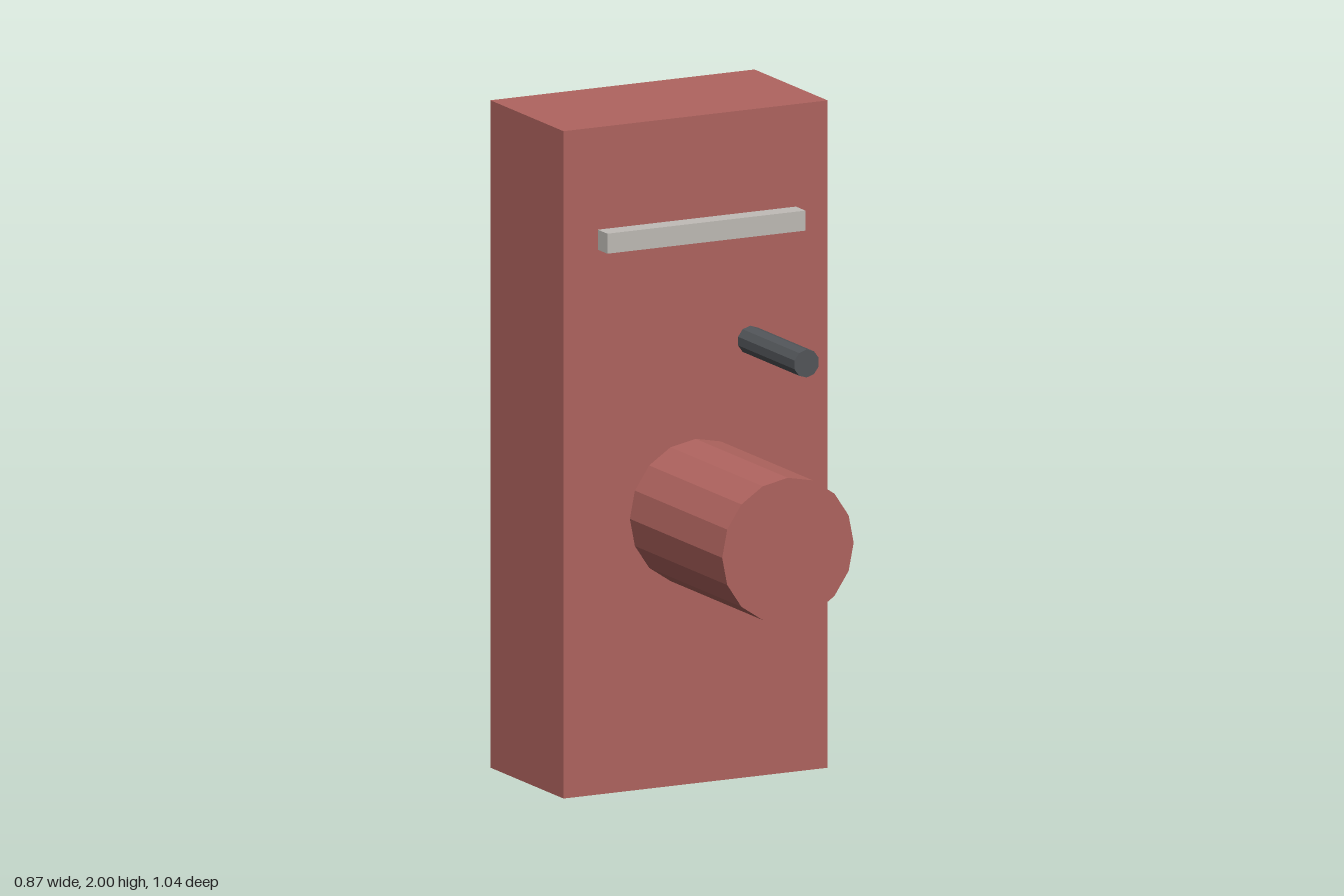
import * as THREE from 'three';

export function createModel() {
  const model = new THREE.Group();
  model.name = 'model';

  const paint = (name, color) => {
    const m = new THREE.MeshStandardMaterial({ color });
    m.name = name;
    return m;
  };
  const red = paint('dusty red', 0xb0645f);
  const grey = paint('light grey', 0xc0bcb7);
  const dark = paint('dark grey', 0x53565a);

  const add = (name, geometry, material, x, y, z) => {
    const mesh = new THREE.Mesh(geometry, material);
    mesh.name = name;
    mesh.position.set(x, y, z);
    model.add(mesh);
  };

  // Faceted cylinder along z with a corner at the top
  const rod = (radius, length, sides) => {
    const g = new THREE.CylinderGeometry(radius, radius, length, sides);
    g.rotateX(Math.PI / 2);
    if (sides % 4 === 2) g.rotateZ(Math.PI); 
    const flat = g.toNonIndexed();
    flat.computeVertexNormals();
    return flat;
  };

  // Upright case
  add('body', new THREE.BoxGeometry(0.872, 2, 0.46), red, 0, 1, -0.29);

  // Large drum projecting from the front
  add('drum', rod(0.217, 0.58, 16), red, 0, 0.815, 0.23);

  // Thin peg beside the centre line
  add('peg', rod(0.042, 0.355, 10), dark, 0.18, 1.31, 0.117);

  // Bar standing just clear of the front face
  add('bar', new THREE.BoxGeometry(0.654, 0.06, 0.06), grey, 0, 1.665, -0.022);

  return model;
}
